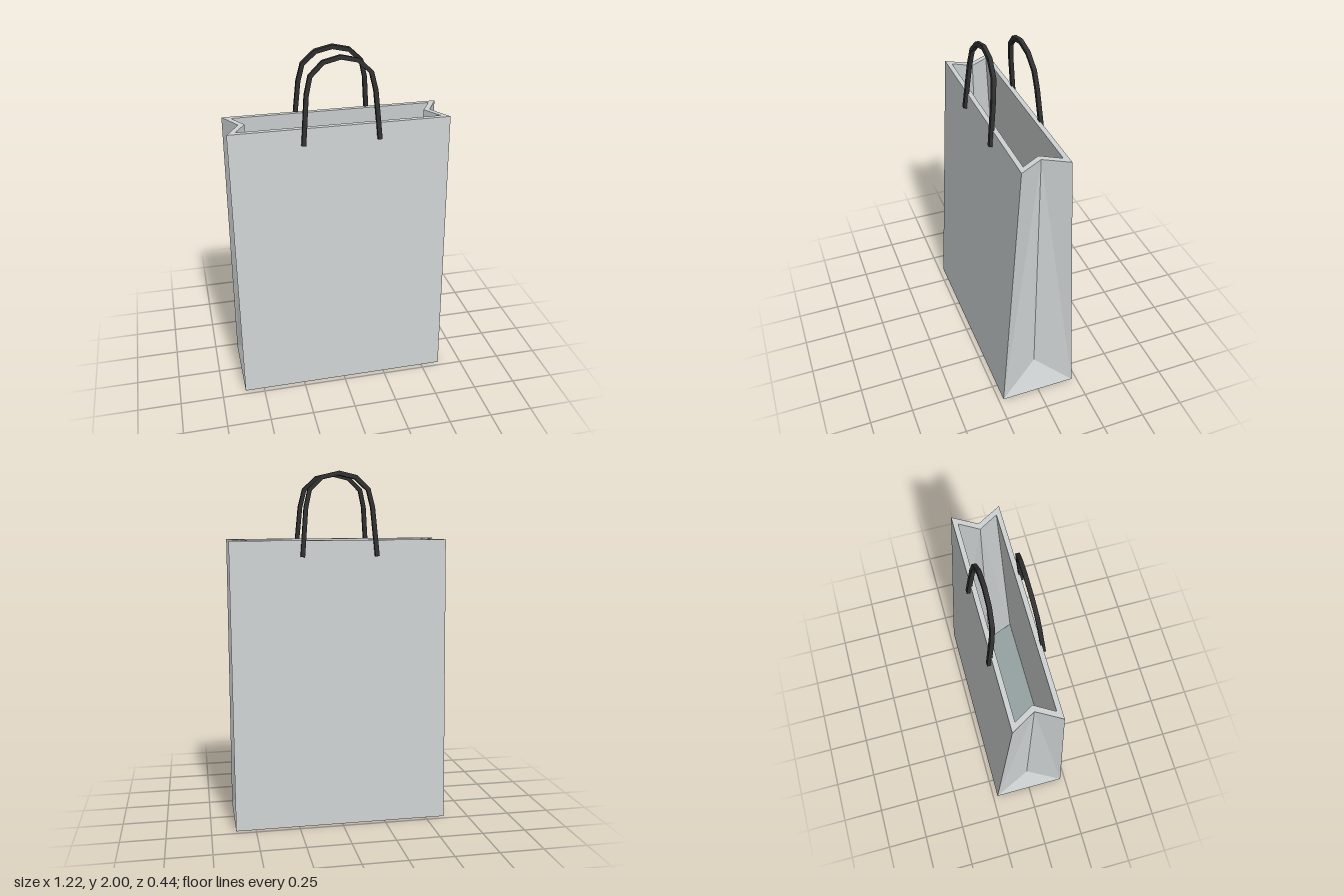
import * as THREE from 'three';

const paper = new THREE.MeshStandardMaterial({ color: 0xcdd1d1, side: THREE.DoubleSide });
paper.name = 'grey paper';
const base = new THREE.MeshStandardMaterial({ color: 0x95a2a2, side: THREE.DoubleSide });
base.name = 'base card';
const cord = new THREE.MeshStandardMaterial({ color: 0x303030 });
cord.name = 'black cord';

// Six-point cross-section with a fold pushed in at each side
const ring = (x, z, y, foldX, foldY) => [
  [x, y, z], [foldX, foldY, 0], [x, y, -z],
  [-x, y, -z], [-foldX, foldY, 0], [-x, y, z],
];

// Flat-faced mesh from polygons, each fanned from its first corner
function faceMesh(name, polygons, material, flip = false) {
  const points = [];
  for (const p of polygons) {
    for (let i = 1; i < p.length - 1; i++) {
      points.push(...p[0], ...(flip ? p[i + 1] : p[i]), ...(flip ? p[i] : p[i + 1]));
    }
  }
  const geometry = new THREE.BufferGeometry();
  geometry.setAttribute('position', new THREE.Float32BufferAttribute(points, 3));
  geometry.computeVertexNormals();
  const mesh = new THREE.Mesh(geometry, material);
  mesh.name = name;
  return mesh;
}

// Walls between two rings, mirrored about the side folds
function walls(b, t) {
  return b.map((_, i) => {
    const j = (i + 1) % 6;
    return i % 3 === 1 ? [b[j], t[j], t[i], b[i]] : [b[i], b[j], t[j], t[i]];
  });
}
const gussets = (b) => [[b[0], b[2], b[1]], [b[3], b[5], b[4]]];
const floor = (b) => [[b[0], b[5], b[3], b[2]]];

// Square cord bent along a faceted arch, leaning towards the middle of the bag
function handle(name) {
  const half = [[0.21, 0], [0.187, 0.27], [0.164, 0.367], [0.094, 0.434]];
  const path = [...half, [0, 0.456], ...half.map(([x, y]) => [-x, y]).reverse()]
    .map(([x, y]) => new THREE.Vector2(x, y));
  const offset = (d) => path.map((p, i) => {
    const a = path[Math.max(i - 1, 0)], c = path[Math.min(i + 1, path.length - 1)];
    const t = c.clone().sub(a).normalize();
    return new THREE.Vector2(p.x + t.y * d, p.y - t.x * d);
  });
  const shape = new THREE.Shape([...offset(0.012), ...offset(-0.012).reverse()]);
  const geometry = new THREE.ExtrudeGeometry(shape, { depth: 0.022, bevelEnabled: false });
  geometry.translate(0, 0, -0.011);
  const mesh = new THREE.Mesh(geometry, cord);
  mesh.rotation.x = -0.0985;
  mesh.position.set(0, 1.535, 0.145);
  const group = new THREE.Group();
  group.name = name;
  group.add(mesh);
  return group;
}

export function createModel() {
  const model = new THREE.Group();
  model.name = 'shoppingBag';

  // Outer and inner shells
  const outerBottom = ring(0.612, 0.221, 0, 0.537, 0.185);
  const outerTop = ring(0.612, 0.132, 1.625, 0.537, 1.625);
  const innerBottom = ring(0.565, 0.19, 0.03, 0.428, 0.21);
  const innerTop = ring(0.564, 0.105, 1.625, 0.502, 1.625);
  model.add(faceMesh('outerWalls',
    [...walls(outerBottom, outerTop), ...gussets(outerBottom), ...floor(outerBottom)], paper));
  model.add(faceMesh('innerWalls',
    [...walls(innerBottom, innerTop), ...gussets(innerBottom)], paper, true));
  model.add(faceMesh('insideFloor', floor(innerBottom), base, true));

  // Folded rim joining the shells
  model.add(faceMesh('rim', outerTop.map((p, i) => {
    const j = (i + 1) % 6;
    return [p, outerTop[j], innerTop[j], innerTop[i]];
  }), paper));

  // Front and back handles
  const back = handle('backHandle');
  back.rotation.y = Math.PI;
  model.add(handle('frontHandle'), back);
  return model;
}
